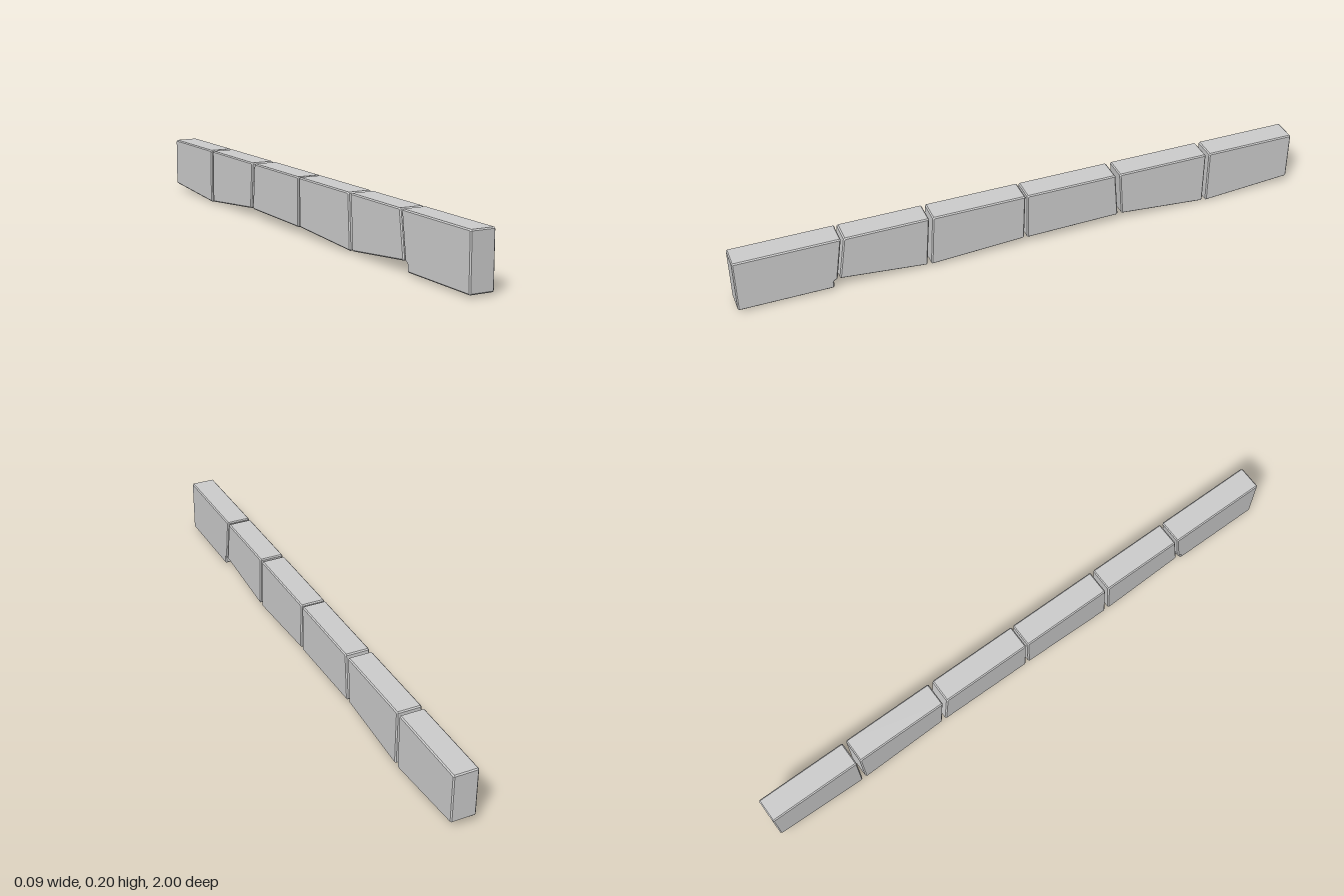
import * as THREE from 'three';

const HALF_WIDTH = 0.043;
const BEVEL = 0.004;
const TOP = 0.197;

// Side outline with every corner cut by a small chamfer
function chamferedShape(points, cut) {
  const pts = points.map(([z, y]) => new THREE.Vector2(z, y));
  const outline = [];
  pts.forEach((p, i) => {
    const prev = pts[(i + pts.length - 1) % pts.length];
    const next = pts[(i + 1) % pts.length];
    for (const q of [prev, next]) {
      outline.push(p.clone().add(q.clone().sub(p).setLength(cut)));
    }
  });
  return new THREE.Shape(outline);
}

// Block extruded across x from a (z, y) outline
function block(name, points) {
  const depth = 2 * (HALF_WIDTH - BEVEL);
  const geometry = new THREE.ExtrudeGeometry(chamferedShape(points, BEVEL), {
    depth,
    bevelEnabled: true,
    bevelThickness: BEVEL,
    bevelSize: BEVEL,
    bevelOffset: -BEVEL,
    bevelSegments: 1,
  });
  geometry.translate(0, 0, -depth / 2);
  geometry.rotateY(-Math.PI / 2);
  const mesh = new THREE.Mesh(geometry, new THREE.MeshStandardMaterial({ color: 0xcccccc, flatShading: true }));
  mesh.name = name;
  return mesh;
}

export function createModel() {
  const group = new THREE.Group();
  group.name = 'stoneRow';

  // Front stone with a small step at the lower back
  group.add(block('frontStone', [
    [1, 0.008], [1, TOP], [0.645, TOP], [0.668, 0.038], [0.68, 0.036], [0.68, 0.008],
  ]));

  // Remaining stones: top front z, top back z, bottom back (z, y), bottom front (z, y)
  const stones = [
    [0.636, 0.347, 0.36, 0.01, 0.66, 0.04],
    [0.335, 0.009, 0.014, 0.026, 0.346, 0.008],
    [0.003, -0.32, -0.335, 0.03, 0.003, 0.024],
    [-0.336, -0.664, -0.664, 0.003, -0.349, 0.031],
    [-0.677, -1, -1, 0.024, -0.677, 0],
  ];
  stones.forEach(([tf, tb, bbZ, bbY, bfZ, bfY], i) => {
    group.add(block(`stone${i + 2}`, [[bfZ, bfY], [tf, TOP], [tb, TOP], [bbZ, bbY]]));
  });
  return group;
}
